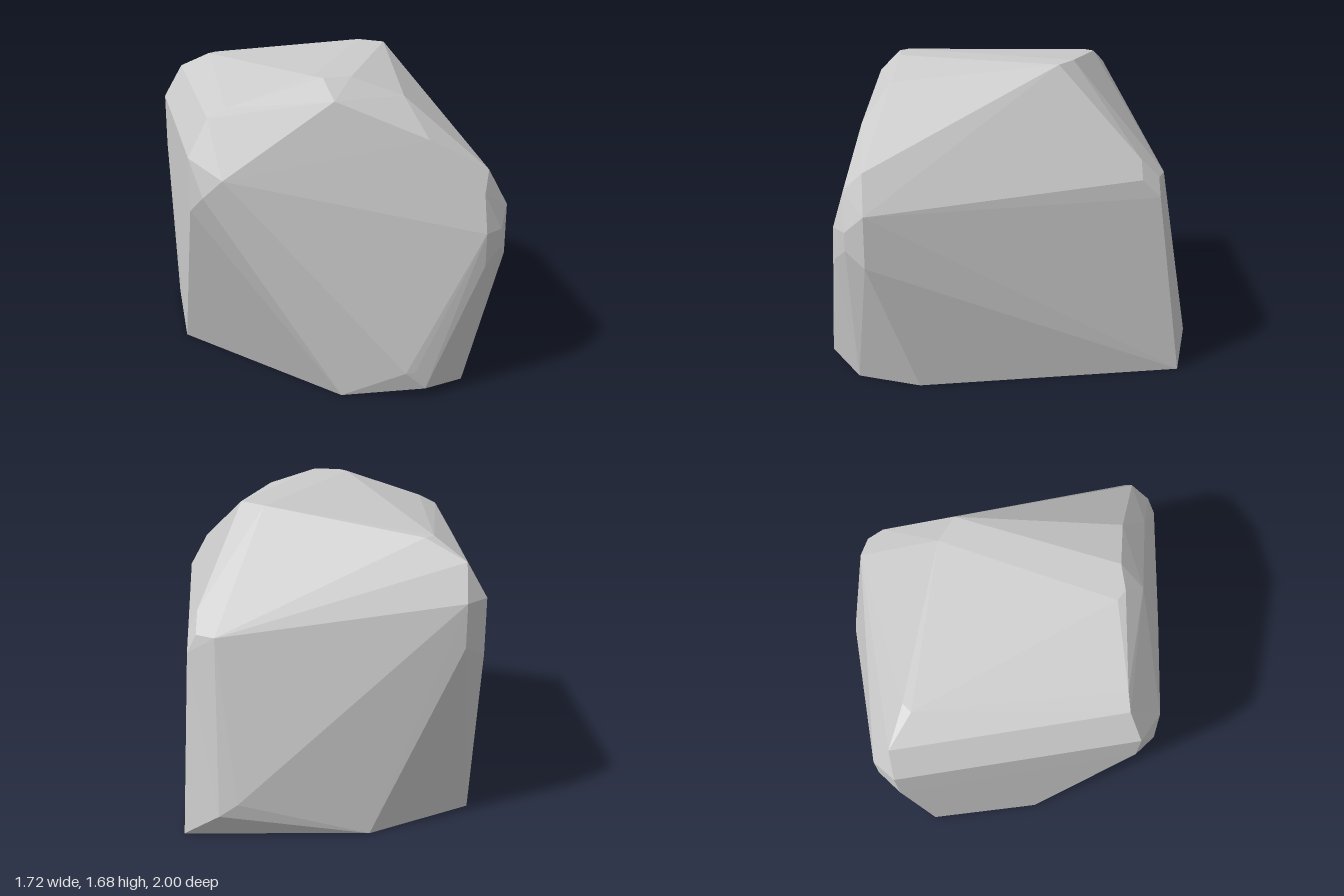
import * as THREE from 'three';
import { ConvexGeometry } from 'three/addons/geometries/ConvexGeometry.js';

// Corner groups of the boulder, each a short list of [x, y, z]
const foot = [
  [-0.06, 0, 0.9], [0.63, 0, 0.85], [0.78, 0, 0.52], [0.73, 0, -0.92],
  [-0.27, 0, -0.91], [-0.83, 0, -0.61], [-0.83, 0, 0.03],
];
const frontToe = [[0.27, 0.15, 1], [0.32, 0.15, 1], [0.38, 0.05, 1]];
const backToe = [[0.43, 0.22, -1], [0.53, 0.15, -1]];
const frontLeftShoulder = [
  [0.75, 1.2, 0.79], [0.86, 1, 0.79], [0.86, 0.72, 0.79], [0.8, 0.9, 0.89],
  [0.8, 0.8, 0.89], [0.7, 1.1, 0.89], [0.7, 0.9, 0.95], [0.7, 0.72, 0.95],
];
const frontRightShoulder = [
  [-0.81, 1.29, 0.58], [-0.81, 1, 0.58], [-0.75, 1.2, 0.64], [-0.75, 1.1, 0.68],
  [-0.65, 1.2, 0.72], [-0.7, 1.48, 0.52], [-0.6, 1.53, 0.52],
];
const backRightShoulder = [
  [-0.86, 1.29, -0.74], [-0.86, 0.98, -0.74], [-0.75, 1.29, -0.84],
  [-0.75, 1.05, -0.84], [-0.75, 1.48, -0.74], [-0.59, 1.58, -0.6], [-0.54, 1.58, -0.64],
];
const backLeftShoulder = [
  [0.64, 1.2, -0.69], [0.69, 1.1, -0.69], [0.69, 0.9, -0.69],
  [0.69, 1, -0.79], [0.64, 1.1, -0.79], [0.54, 1.1, -0.84],
];
const crown = [
  [-0.15, 1.68, 0.52], [-0.1, 1.68, 0.57], [0.05, 1.68, 0.57], [0.43, 1.68, -0.27],
  [0.3, 1.68, -0.37], [0.32, 1.58, 0.63], [-0.06, 1.58, 0.68], [0.42, 1.38, 0.79],
];

export function createModel() {
  const group = new THREE.Group();
  group.name = 'boulder';

  // Faceted stone wrapped tightly around its corners
  const points = [
    foot, frontToe, backToe, frontLeftShoulder, frontRightShoulder,
    backRightShoulder, backLeftShoulder, crown,
  ].flat().map((p) => new THREE.Vector3(...p));
  const rock = new THREE.Mesh(
    new ConvexGeometry(points),
    new THREE.MeshStandardMaterial({ color: 0xcccccc, flatShading: true }),
  );
  rock.name = 'rock';
  group.add(rock);
  return group;
}
